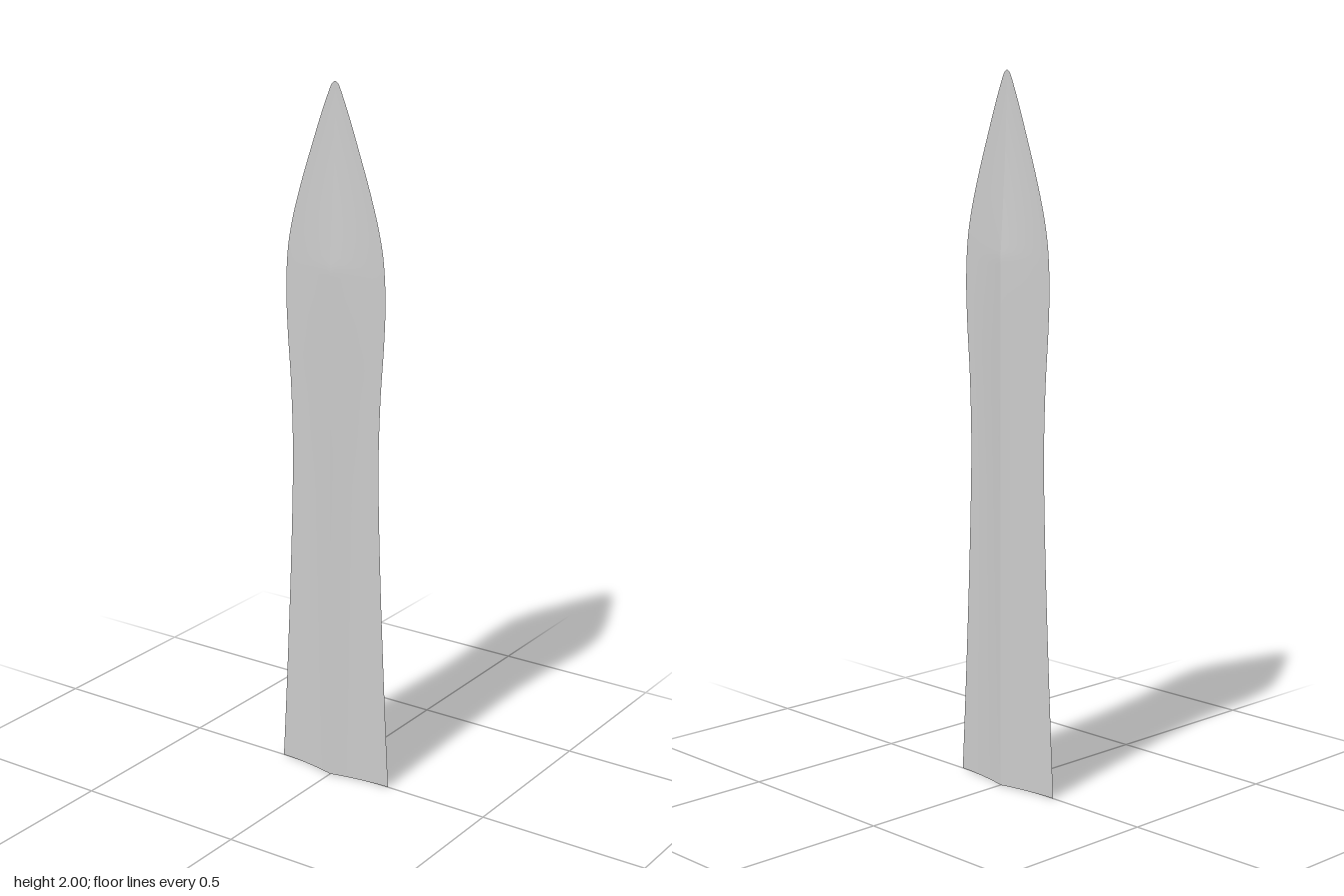
import * as THREE from 'three';

const material = new THREE.MeshStandardMaterial({ color: 0xcccccc, side: THREE.DoubleSide });

// Edge outline: half width, height
const outline = new THREE.SplineCurve([
  [0.184, 0], [0.173, 0.2], [0.163, 0.4], [0.154, 0.6], [0.147, 0.8], [0.144, 0.97],
  [0.149, 1.15], [0.159, 1.3], [0.163, 1.42], [0.157, 1.53], [0.14, 1.62], [0.111, 1.72],
  [0.077, 1.82], [0.045, 1.91], [0.017, 1.98], [0.008, 1.995], [0, 2],
].map(([x, y]) => new THREE.Vector2(x, y))).getPoints(96);

const COLUMNS = 12;

// Half thickness of the central ridge: constant, then tapering to the point
const ridge = (y) => 0.025 * Math.pow(Math.min(1, Math.max(0, (2 - y) / 0.5)), 1.5);

// Hollow-ground section, u = 0 at the ridge and 1 at the cutting edge
const section = (u) => Math.pow(1 - u, 1.75);

function makeGeometry(positions, indices) {
  const geometry = new THREE.BufferGeometry();
  geometry.setAttribute('position', new THREE.Float32BufferAttribute(positions, 3));
  geometry.setIndex(indices);
  geometry.computeVertexNormals();
  return geometry;
}

// One ground face between ridge and edge; sx and sz choose the quadrant
function bladeFace(sx, sz) {
  const positions = [], indices = [];
  outline.forEach(({ x, y }, j) => {
    for (let i = 0; i <= COLUMNS; i++) {
      const u = i / COLUMNS;
      positions.push(sx * Math.max(0, x) * u, y, sz * ridge(y) * section(u));
      if (i === COLUMNS || j === outline.length - 1) continue;
      const a = j * (COLUMNS + 1) + i, b = a + 1, c = a + COLUMNS + 1, d = c + 1;
      if (sx * sz > 0) indices.push(a, b, d, a, d, c);
      else indices.push(a, d, b, a, c, d);
    }
  });
  return makeGeometry(positions, indices);
}

// Flat end closing the base of the blade
function baseCap() {
  const positions = [], indices = [];
  for (let i = -COLUMNS; i <= COLUMNS; i++) {
    const u = i / COLUMNS, z = ridge(0) * section(Math.abs(u));
    positions.push(outline[0].x * u, 0, z, outline[0].x * u, 0, -z);
    if (i === COLUMNS) continue;
    const a = (i + COLUMNS) * 2;
    indices.push(a, a + 1, a + 3, a, a + 3, a + 2);
  }
  return makeGeometry(positions, indices);
}

export function createModel() {
  const group = new THREE.Group();
  group.name = 'blade';
  const add = (name, geometry) => {
    const mesh = new THREE.Mesh(geometry, material);
    mesh.name = name;
    group.add(mesh);
  };
  for (const sx of [1, -1]) {
    for (const sz of [1, -1]) {
      add((sz > 0 ? 'front' : 'back') + (sx > 0 ? 'Left' : 'Right') + 'Face', bladeFace(sx, sz));
    }
  }
  add('baseCap', baseCap());
  return group;
}
